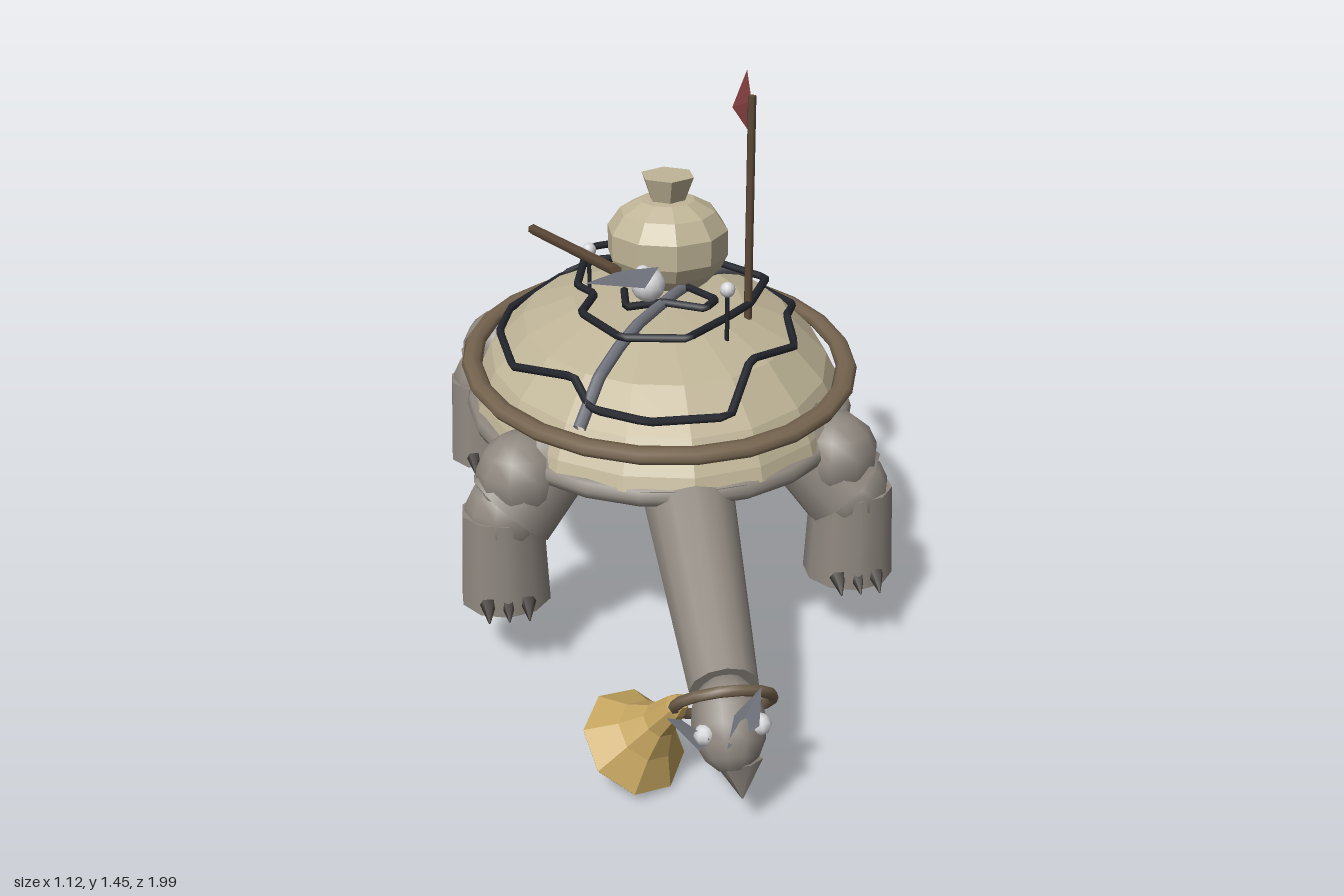
import * as THREE from 'three';

const paint = (name, color) => {
  const m = new THREE.MeshStandardMaterial({ color });
  m.name = name;
  return m;
};
const V = (x, y, z) => new THREE.Vector3(x, y, z);
const UP = V(0, 1, 0);
const ZC = -0.205; // shell centre along z
const RX = 0.5, RZ = 0.635; // shell half width and half length
const DOME = [[1, 0.585], [0.98, 0.62], [0.9, 0.70], [0.72, 0.79], [0.45, 0.845], [0, 0.86]];

// Height of the shell surface under a point
function shellY(x, z) {
  const r = Math.min(1, Math.hypot(x / RX, (z - ZC) / RZ));
  for (let i = DOME.length - 2; i >= 0; i--) {
    const [r0, y0] = DOME[i], [r1, y1] = DOME[i + 1];
    if (r <= r0) return y1 + (y0 - y1) * (r - r1) / (r0 - r1);
  }
  return DOME[0][1];
}

function flat(geo) {
  const g = geo.index ? geo.toNonIndexed() : geo;
  g.computeVertexNormals();
  return g;
}

const lathe = (pts, sides) => new THREE.LatheGeometry(pts.map(p => new THREE.Vector2(p[0], p[1])), sides);

export function createModel() {
  const group = new THREE.Group();
  const skin = paint('greySkin', 0x8f8880);
  const shell = paint('shellBeige', 0xc0b598);
  const rope = paint('ropeBrown', 0x75644f);
  const wood = paint('darkWood', 0x5e4b39);
  const gold = paint('hornGold', 0xc5a55f);
  const red = paint('flagRed', 0x97494a);
  const black = paint('cordBlack', 0x23262d);
  const steel = paint('steel', 0x73757f);
  const white = paint('boneWhite', 0xd6d6da);
  const claw = paint('clawDark', 0x45413d);
  red.side = steel.side = gold.side = THREE.DoubleSide;

  const add = (name, geo, mat, pos = V(0, 0, 0)) => {
    const m = new THREE.Mesh(geo, mat);
    m.name = name;
    m.position.copy(pos);
    group.add(m);
    return m;
  };
  // Tapered rod from a to b
  const rod = (name, a, b, ra, rb, sides, mat) => {
    const d = b.clone().sub(a);
    const m = add(name, new THREE.CylinderGeometry(rb, ra, d.length(), sides), mat, a.clone().lerp(b, 0.5));
    m.quaternion.setFromUnitVectors(UP, d.normalize());
    return m;
  };
  const ball = (name, r, pos, mat, w = 12, h = 8) => add(name, new THREE.SphereGeometry(r, w, h), mat, pos);
  // Four-cornered thin plate
  const plate = (name, c, mat) => {
    const g = new THREE.BufferGeometry().setFromPoints([c[0], c[1], c[2], c[0], c[2], c[3]]);
    g.computeVertexNormals();
    return add(name, g, mat);
  };
  // Angular cord through points
  const cord = (name, pts, r, mat, closed) => {
    const path = new THREE.CurvePath();
    const n = closed ? pts.length : pts.length - 1;
    for (let i = 0; i < n; i++) path.add(new THREE.LineCurve3(pts[i], pts[(i + 1) % pts.length]));
    return add(name, new THREE.TubeGeometry(path, n * 6, r, 6, closed), mat);
  };
  // Oval ring lying flat around the shell
  const ring = (name, y, rx, rz, tube, tall, mat) => {
    const g = new THREE.TorusGeometry(1, tube, 8, 24).rotateX(Math.PI / 2);
    g.scale(rx, tall / tube, rz);
    return add(name, g, mat, V(0, y, ZC));
  };

  // Shell, belly and rims
  add('shell', flat(lathe(DOME, 18)), shell, V(0, 0, ZC)).scale.set(RX, 1, RZ);
  add('belly', lathe([[0, 0.49], [0.76, 0.49], [0.9, 0.53], [1, 0.57], [1, 0.59]], 24), skin, V(0, 0, ZC)).scale.set(RX, 1, RZ);
  ring('shellRim', 0.57, 0.49, 0.61, 0.055, 0.028, skin);
  ring('shellRope', 0.683, 0.5, 0.625, 0.055, 0.019, rope);

  // Legs with three claws each
  for (const s of [-1, 1]) for (const z of [0.18, -0.65]) {
    const knee = V(s * 0.44, 0.44, z);
    rod('upperLeg', V(s * 0.27, 0.62, z - 0.04 * Math.sign(z)), V(s * 0.43, 0.45, z), 0.1, 0.125, 10, skin);
    ball('hip', 0.115, V(s * 0.4, 0.54, z), skin, 10, 7);
    ball('knee', 0.108, knee, skin, 10, 7);
    add('lowerLeg', new THREE.CylinderGeometry(0.105, 0.117, 0.25, 10), skin, V(s * 0.45, 0.325, z));
    for (const dx of [-0.05, 0, 0.05])
      rod('claw', V(s * 0.45 + dx, 0.235, z + 0.095), V(s * 0.45 + dx, 0.205, z + 0.145), 0.022, 0.002, 5, claw);
  }

  // Neck, head, beak and tail
  rod('neck', V(0, 0.555, 0.26), V(0, 0.305, 0.83), 0.118, 0.08, 12, skin);
  const head = ball('head', 0.088, V(0, 0.258, 0.895), skin, 10, 8);
  head.scale.set(0.97, 1.25, 0.95);
  head.rotation.x = -0.65;
  rod('beak', V(0.015, 0.185, 0.935), V(0.02, 0.105, 0.965), 0.055, 0.002, 6, skin);
  rod('tail', V(0, 0.605, -0.77), V(0, 0.49, -1), 0.065, 0.002, 7, skin);

  // Eyes and brow plates
  ball('leftEye', 0.025, V(0.062, 0.28, 0.94), white, 8, 6);
  ball('rightEye', 0.025, V(-0.062, 0.265, 0.94), white, 8, 6);
  plate('leftBrow', [V(-0.02, 0.255, 0.985), V(0.055, 0.29, 0.96), V(0.065, 0.365, 0.925), V(0.0, 0.32, 0.955)], steel);
  plate('rightBrow', [V(-0.055, 0.27, 0.965), V(-0.11, 0.295, 0.92), V(-0.14, 0.285, 0.895), V(-0.075, 0.23, 0.95)], steel);

  // Rope round the head
  const collar = add('headRope', new THREE.TorusGeometry(0.112, 0.013, 6, 14), rope, V(-0.005, 0.285, 0.855));
  collar.quaternion.setFromUnitVectors(V(0, 0, 1), V(0, -0.68, 0.73).normalize());

  // Flared horn hanging from the rope
  const bell = [[0, 0], [0.115, 0.0], [0.132, 0.025], [0.075, 0.09], [0.042, 0.15], [0.028, 0.23], [0.018, 0.255], [0, 0.255]];
  const horn = add('horn', flat(lathe(bell, 8)), gold, V(-0.2, 0.09, 0.715));
  horn.quaternion.setFromUnitVectors(UP, V(0.1, 0.19, 0.12).normalize());

  // Cargo sack
  const sack = [[0, 0.83], [0.11, 0.85], [0.145, 0.89], [0.165, 0.93], [0.165, 1.0], [0.13, 1.05], [0.075, 1.08], [0, 1.085]];
  add('sack', flat(lathe(sack, 10)), shell, V(0.045, 0, -0.325));
  add('sackNeck', flat(new THREE.CylinderGeometry(0.075, 0.045, 0.08, 6)), shell, V(0.045, 1.107, -0.325));

  // Flag
  rod('flagPole', V(0.215, 0.83, -0.05), V(0.215, 1.425, -0.05), 0.011, 0.011, 6, wood);
  plate('flag', [V(0.215, 1.41, -0.055), V(0.218, 1.47, -0.135), V(0.21, 1.335, -0.285), V(0.225, 1.31, -0.085)], red);

  // Shovel
  rod('shovelHandle', V(-0.3, 0.915, -0.61), V(-0.15, 1.055, 0.14), 0.015, 0.015, 6, wood);
  plate('shovelBlade', [V(-0.14, 1.05, 0.13), V(-0.05, 1.07, 0.17), V(-0.11, 1.09, 0.36), V(-0.235, 1.06, 0.23)], steel);

  // Strap and cords resting on the shell
  const onShell = (pts, lift) => pts.map(([x, z]) => V(x, shellY(x, z) + lift, z));
  const strap = [];
  for (let i = 0; i <= 10; i++) strap.push([-0.26 + 0.06 * i, 0.27 - 0.087 * i]);
  cord('strap', onShell(strap, 0.012), 0.016, steel, false);
  cord('outerCord', onShell([[-0.2, -0.65], [-0.1, -0.63], [0.23, -0.64], [0.33, -0.57], [0.41, -0.38], [0.33, -0.1],
    [0.32, 0.05], [0.18, 0.17], [0.1, 0.33], [-0.1, 0.33], [-0.23, 0.25], [-0.26, 0.15], [-0.4, -0.03],
    [-0.42, -0.28], [-0.38, -0.45]], 0.018), 0.011, black, true);
  const innerPts = [[0.02, -0.48], [-0.06, -0.575], [-0.14, -0.55], [-0.17, -0.45], [-0.21, -0.25], [-0.17, -0.18],
    [-0.22, -0.05], [-0.14, 0.13], [0.02, 0.16], [0.15, 0.03], [0.22, -0.05], [0.3, -0.23], [0.2, -0.36]];
  cord('innerCord', innerPts.map(([x, z]) => V(x, 0.875, z)), 0.011, black, false);
  cord('centreCord', [[-0.09, -0.2], [-0.1, -0.08], [0, -0.1], [0.1, -0.04], [0.14, -0.1], [0.08, -0.2]]
    .map(([x, z]) => V(x, 0.872, z)), 0.011, black, false);

  // Ball-headed pins and bone ornament
  for (const [x, z] of [[-0.175, -0.27], [0.137, 0.075]]) {
    rod('pin', V(x, 0.82, z), V(x, 0.96, z), 0.006, 0.006, 6, black);
    ball('pinHead', 0.02, V(x, 0.965, z), white, 10, 8);
  }
  ball('boneBall', 0.045, V(-0.04, 0.925, -0.095), white);
  ball('boneKnob', 0.022, V(-0.055, 0.96, -0.085), white, 10, 8);
  ball('boneKnob', 0.022, V(-0.02, 0.93, -0.135), white, 10, 8);

  return group;
}
